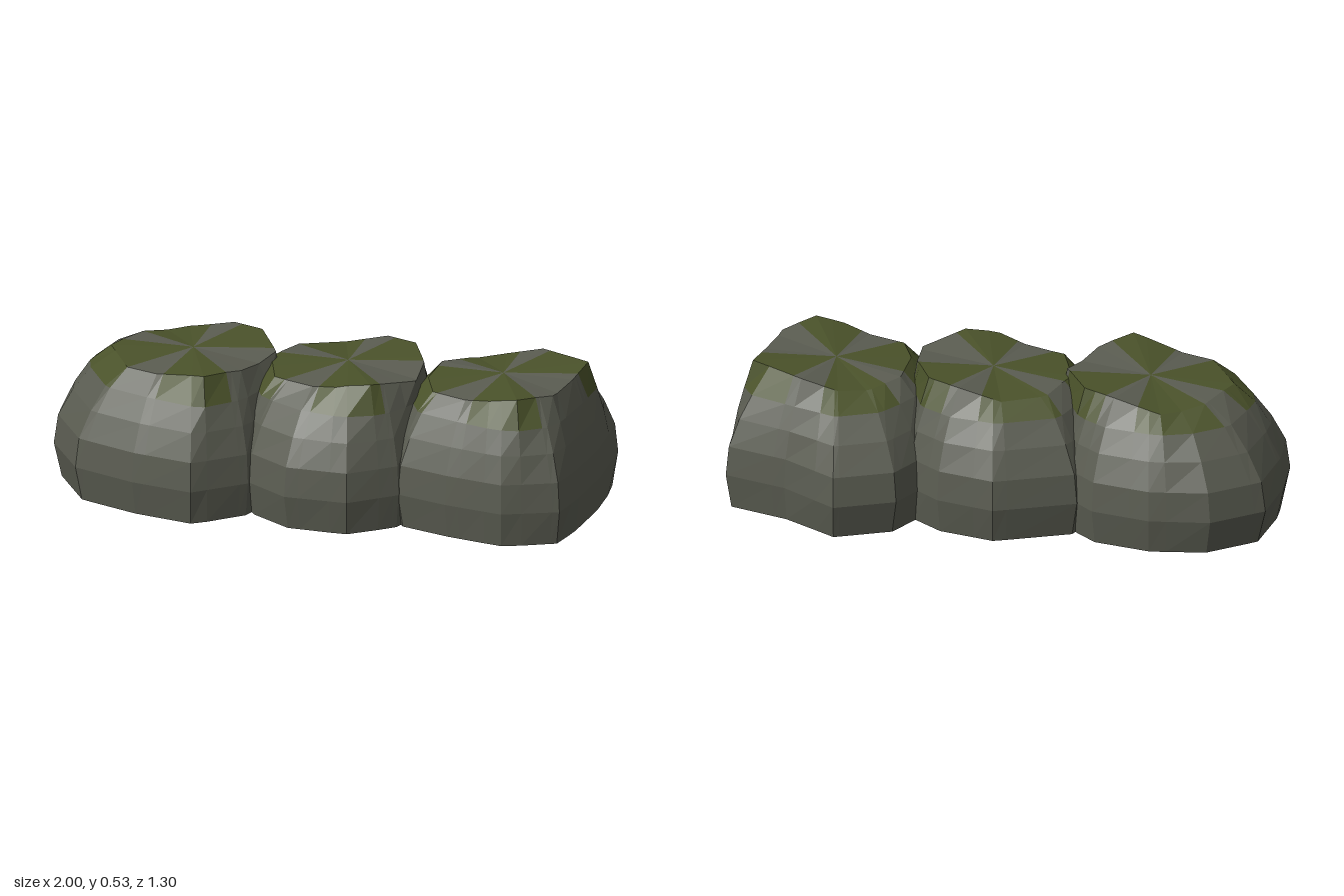
import * as THREE from 'three';

// The boulders are open shells underneath, so both sides show
const stone = new THREE.MeshStandardMaterial({ color: 0x5a5c51, side: THREE.DoubleSide });
stone.name = 'stone';
const moss = new THREE.MeshStandardMaterial({ color: 0x4a522a, side: THREE.DoubleSide });
moss.name = 'moss';

// Each boulder: centre, widest outline and top rim as [x, z] corners
const boulders = [
  {
    name: 'frontBoulder', centre: [-0.46, 0.22],
    outline: [[-0.08, 0.2], [-0.08, 0.42], [-0.2, 0.61], [-0.43, 0.65], [-0.68, 0.65], [-0.88, 0.5], [-0.95, 0.34],
      [-1, 0.12], [-0.88, -0.07], [-0.68, -0.17], [-0.46, -0.2], [-0.34, -0.15], [-0.17, 0.04]],
    rim: [[-0.18, 0.1], [-0.18, 0.32], [-0.24, 0.47], [-0.57, 0.48], [-0.74, 0.34], [-0.73, 0.14],
      [-0.63, 0], [-0.46, -0.04], [-0.33, -0.03]],
  },
  {
    name: 'middleBoulder', centre: [0.07, 0],
    outline: [[0.4, 0], [0.43, 0.1], [0.43, 0.2], [0.32, 0.37], [0.1, 0.45], [-0.08, 0.41], [-0.27, 0.28],
      [-0.37, 0.05], [-0.38, -0.17], [-0.15, -0.38], [0.07, -0.4], [0.22, -0.35], [0.34, -0.18]],
    rim: [[0.38, 0.02], [0.3, 0.19], [0.19, 0.25], [-0.08, 0.25], [-0.2, 0.1], [-0.2, -0.08],
      [-0.08, -0.2], [0.07, -0.25], [0.2, -0.24], [0.32, -0.12]],
  },
  {
    name: 'backBoulder', centre: [0.6, -0.22],
    outline: [[0.98, -0.15], [1, 0], [0.84, 0.14], [0.62, 0.18], [0.43, 0.2], [0.27, 0.08], [0.19, -0.15],
      [0.17, -0.33], [0.19, -0.49], [0.36, -0.65], [0.6, -0.59], [0.84, -0.6], [0.93, -0.36]],
    rim: [[0.88, -0.13], [0.82, 0.01], [0.72, 0.04], [0.47, 0.04], [0.38, -0.06], [0.33, -0.22],
      [0.38, -0.34], [0.47, -0.43], [0.6, -0.47], [0.82, -0.44], [0.85, -0.3]],
  },
];

// Side profile: height, and blend from outline (0) to rim (1)
const levels = [[0, 0.13], [0.13, 0], [0.24, 0.07], [0.34, 0.31], [0.425, 0.6], [0.51, 1]];
// Uneven rim: height offset at every eighth of a turn, from +x towards +z
const rimLift = [-0.008, 0.02, -0.022, -0.018, -0.02, -0.042, 0.008, 0.018];
// Moss wedges: start and end angle, from +x towards +z
const wedges = [[32, 80], [113, 170], [195, 250], [278, 332]]
  .map((wedge) => wedge.map(THREE.MathUtils.degToRad));
const TAU = Math.PI * 2;
const angleOf = ([x, z], [cx, cz]) => (Math.atan2(z - cz, x - cx) + TAU) % TAU;

// Distance from the centre to a polygon along a given angle
function reach(poly, [cx, cz], angle) {
  const dx = Math.cos(angle), dz = Math.sin(angle);
  let best = 0;
  poly.forEach(([x, z], i) => {
    const [nx, nz] = poly[(i + 1) % poly.length];
    const ex = nx - x, ez = nz - z, px = x - cx, pz = z - cz;
    const det = dx * ez - dz * ex;
    if (Math.abs(det) < 1e-9) return;
    const r = (px * ez - pz * ex) / det;
    const s = (px * dz - pz * dx) / det;
    if (r > 0 && s > -1e-4 && s < 1.0001) best = Math.max(best, r);
  });
  return best;
}

function liftAt(angle) {
  const turn = angle / TAU * rimLift.length;
  const i = Math.floor(turn);
  return THREE.MathUtils.lerp(rimLift[i % rimLift.length], rimLift[(i + 1) % rimLift.length], turn - i);
}

function facetedMesh(positions, material, name) {
  const geometry = new THREE.BufferGeometry();
  geometry.setAttribute('position', new THREE.Float32BufferAttribute(positions, 3));
  geometry.computeVertexNormals();
  const mesh = new THREE.Mesh(geometry, material);
  mesh.name = name;
  return mesh;
}

function makeBoulder({ name, centre, outline, rim }) {
  // Facets break at polygon corners and at the edges of the moss wedges
  const angles = wedges.flat();
  [...outline, ...rim].forEach((p) => {
    const a = angleOf(p, centre);
    if (angles.every((b) => Math.abs(a - b) > 0.04)) angles.push(a);
  });
  angles.sort((a, b) => a - b);

  const [cx, cz] = centre;
  const top = levels.length - 1;
  const rings = levels.map(([y, t], level) => angles.map((a) => {
    const r = THREE.MathUtils.lerp(reach(outline, centre, a), reach(rim, centre, a), t);
    const lift = level === top ? liftAt(a) : 0;
    return [cx + r * Math.cos(a), y + lift, cz + r * Math.sin(a)];
  }));
  rings.push(angles.map(() => [cx, 0.508, cz]));

  const stoneFaces = [], mossFaces = [];
  for (let k = 0; k <= top; k++) {
    for (let i = 0; i < angles.length; i++) {
      const j = (i + 1) % angles.length;
      const end = j ? angles[j] : angles[0] + TAU;
      const middle = (angles[i] + end) / 2;
      const mossy = k >= top - 1 && wedges.some(([from, to]) => middle > from && middle < to);
      const faces = mossy ? mossFaces : stoneFaces;
      const a = rings[k][i], b = rings[k + 1][i], c = rings[k + 1][j], d = rings[k][j];
      faces.push(...a, ...b, ...d);
      if (k < top) faces.push(...b, ...c, ...d);
    }
  }

  const boulder = new THREE.Group();
  boulder.name = name;
  boulder.add(facetedMesh(stoneFaces, stone, 'rock'), facetedMesh(mossFaces, moss, 'mossPatches'));
  return boulder;
}

export function createModel() {
  const model = new THREE.Group();
  model.name = 'mossyBoulders';
  boulders.forEach((b) => model.add(makeBoulder(b)));
  return model;
}
